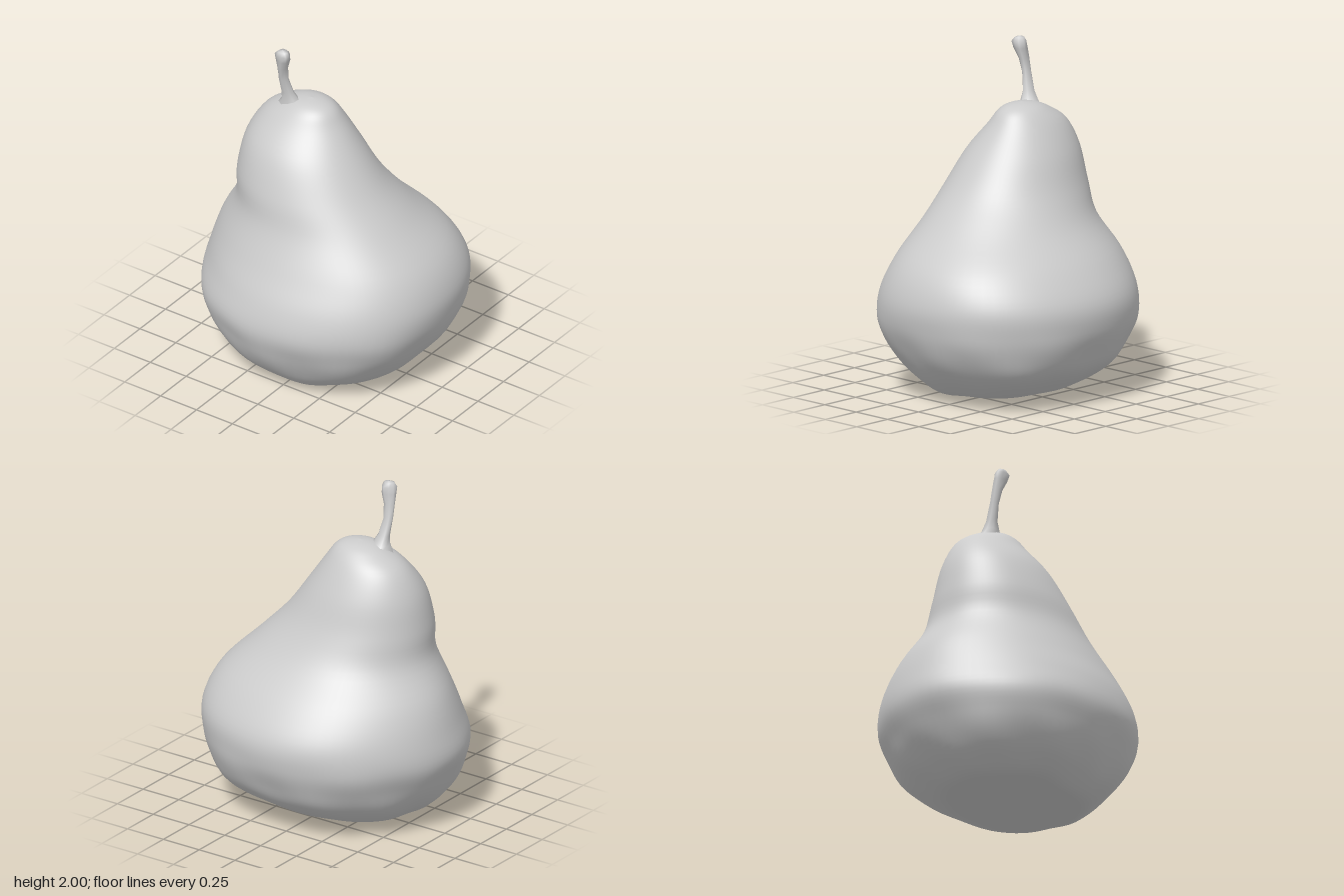
import * as THREE from 'three';

const material = new THREE.MeshStandardMaterial({ color: 0xcccccc, side: THREE.DoubleSide });

// Closed smooth skin over a stack of rings; point(i, a) gives ring i at angle a
function skin(name, rings, sides, point) {
  const positions = [], index = [];
  for (let i = 0; i < rings; i++) {
    for (let j = 0; j < sides; j++) {
      positions.push(...point(i, (j / sides) * Math.PI * 2));
      if (i === rings - 1) continue;
      const a = i * sides + j, b = i * sides + ((j + 1) % sides);
      index.push(a, a + sides, b, b, a + sides, b + sides);
    }
  }
  const geometry = new THREE.BufferGeometry();
  geometry.setAttribute('position', new THREE.Float32BufferAttribute(positions, 3));
  geometry.setIndex(index);
  geometry.computeVertexNormals();
  const mesh = new THREE.Mesh(geometry, material);
  mesh.name = name;
  return mesh;
}

// Fruit cross-sections: height, x min, x max, z min, z max
const sections = [
  [0.03, -0.02, -0.02, 0.05, 0.05],
  [0.028, -0.24, 0.22, -0.14, 0.25],
  [0.02, -0.43, 0.39, -0.28, 0.42],
  [0.10, -0.56, 0.52, -0.45, 0.54],
  [0.20, -0.65, 0.62, -0.58, 0.62],
  [0.32, -0.72, 0.70, -0.65, 0.68],
  [0.46, -0.775, 0.755, -0.70, 0.72],
  [0.62, -0.75, 0.765, -0.70, 0.68],
  [0.80, -0.69, 0.69, -0.59, 0.59],
  [1.00, -0.575, 0.50, -0.41, 0.495],
  [1.18, -0.555, 0.335, -0.305, 0.445],
  [1.38, -0.515, 0.19, -0.23, 0.36],
  [1.53, -0.43, 0.08, -0.155, 0.24],
  [1.61, -0.31, 0.02, -0.09, 0.17],
  [1.645, -0.22, -0.045, -0.03, 0.11],
  [1.657, -0.13, -0.13, 0.04, 0.04],
];

// Catmull-Rom blend of the section table
function sectionAt(t) {
  const n = sections.length - 1, k = Math.min(Math.floor(t), n - 1), f = t - k;
  const at = (m) => sections[THREE.MathUtils.clamp(m, 0, n)];
  return sections[k].map((_, c) => {
    const [p, q, r, s] = [at(k - 1)[c], at(k)[c], at(k + 1)[c], at(k + 2)[c]];
    return q + 0.5 * f * (r - p + f * (2 * p - 5 * q + 4 * r - s + f * (3 * (q - r) + s - p)));
  });
}

function makeFruit() {
  const steps = 5;
  return skin('pearBody', (sections.length - 1) * steps + 1, 72, (i, a) => {
    const [y, x0, x1, z0, z1] = sectionAt(i / steps);
    const c = Math.cos(a), s = Math.sin(a), twist = Math.sin(2 * a);
    const low = 1 - THREE.MathUtils.smoothstep(y, 0.15, 0.6);
    const belly = 1 - THREE.MathUtils.smoothstep(y, 0.8, 1.2);
    const edge = Math.min(1, (x1 - x0) / 0.8);
    // Fuller left-hand side, squarer base with uneven dents
    const dents = Math.sin(7 * a + 9 * y) + 0.7 * Math.sin(11 * a - 14 * y + 1);
    const r = 1 + belly * twist * twist * (0.005 + 0.033 * c)
      + low * (0.04 * twist * twist - 0.025 * twist + 0.008 * dents);
    // Base rises towards the back and left, and rests on lobes at the front
    const lobes = 0.5 * (1 + s) * Math.sin(5 * a + 4);
    const lift = low * edge * edge * (0.012 * (1.2 - s + 0.5 * c + lobes) - 0.014);
    return [
      (x0 + x1) / 2 + ((x1 - x0) / 2) * c * r,
      Math.max(0, y + lift),
      (z0 + z1) / 2 + ((z1 - z0) / 2) * s * r,
    ];
  });
}

// Stem rings: x, y, z, radius
const stemRings = [
  [-0.235, 1.58, 0.07, 0.09],
  [-0.24, 1.635, 0.09, 0.055],
  [-0.25, 1.69, 0.108, 0.036],
  [-0.262, 1.79, 0.135, 0.029],
  [-0.257, 1.87, 0.15, 0.032],
  [-0.244, 1.93, 0.16, 0.042],
  [-0.24, 1.97, 0.166, 0.046],
  [-0.24, 1.992, 0.168, 0.03],
  [-0.24, 2.0, 0.168, 0],
];

function makeStem() {
  return skin('stem', stemRings.length, 9, (i, a) => {
    const [x, y, z, r] = stemRings[i];
    const k = r * (1 + 0.12 * Math.sin(3 * a + i));
    return [x + k * Math.cos(a), y, z + 0.85 * k * Math.sin(a)];
  });
}

export function createModel() {
  const group = new THREE.Group();
  group.name = 'pear';
  group.add(makeFruit(), makeStem());
  return group;
}
